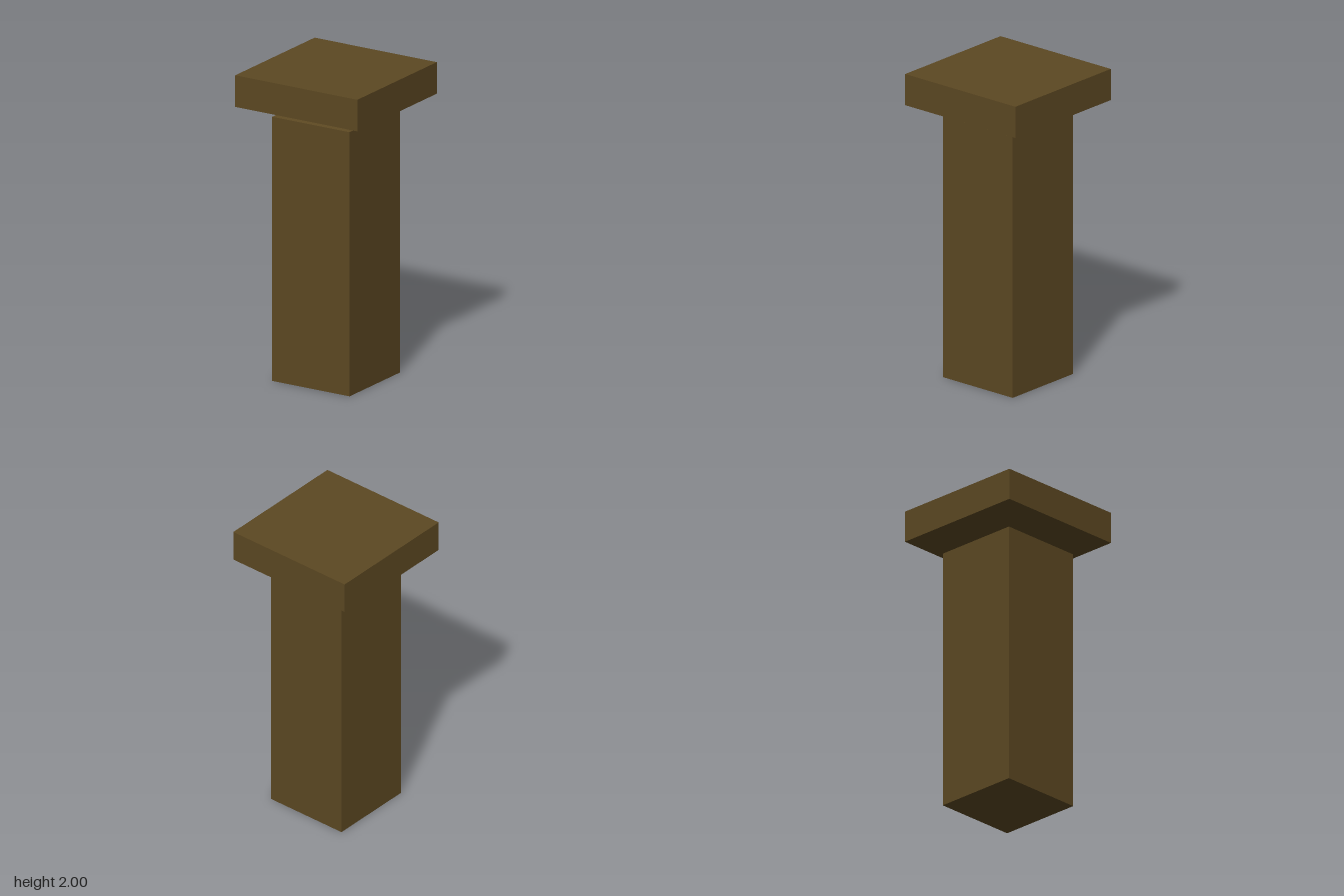
import * as THREE from 'three';

// Square solid turned from [halfWidth, y] points listed bottom to top
function squareSolid(name, profile, material) {
  const points = profile.map(([half, y]) => new THREE.Vector2(half * Math.SQRT2, y));
  const geometry = new THREE.LatheGeometry(points, 4, Math.PI / 4).toNonIndexed();
  geometry.computeVertexNormals(); // crisp flat faces
  const mesh = new THREE.Mesh(geometry, material);
  mesh.name = name;
  return mesh;
}

export function createModel() {
  const group = new THREE.Group();
  group.name = 'post';
  const wood = new THREE.MeshStandardMaterial({ color: 0x5c4822 });
  wood.name = 'dark wood';

  group.add(
    // Tall shaft with a shallow sloped shoulder
    squareSolid('shaft', [[0, 0], [0.285, 0], [0.285, 1.715], [0.15, 1.745]], wood),
    // Recessed neck under the cap
    squareSolid('neck', [[0.15, 1.745], [0.15, 1.775]], wood),
    // Wide cap with a sloped underside
    squareSolid('cap', [[0.15, 1.775], [0.45, 1.795], [0.45, 2], [0, 2]], wood),
  );
  return group;
}
